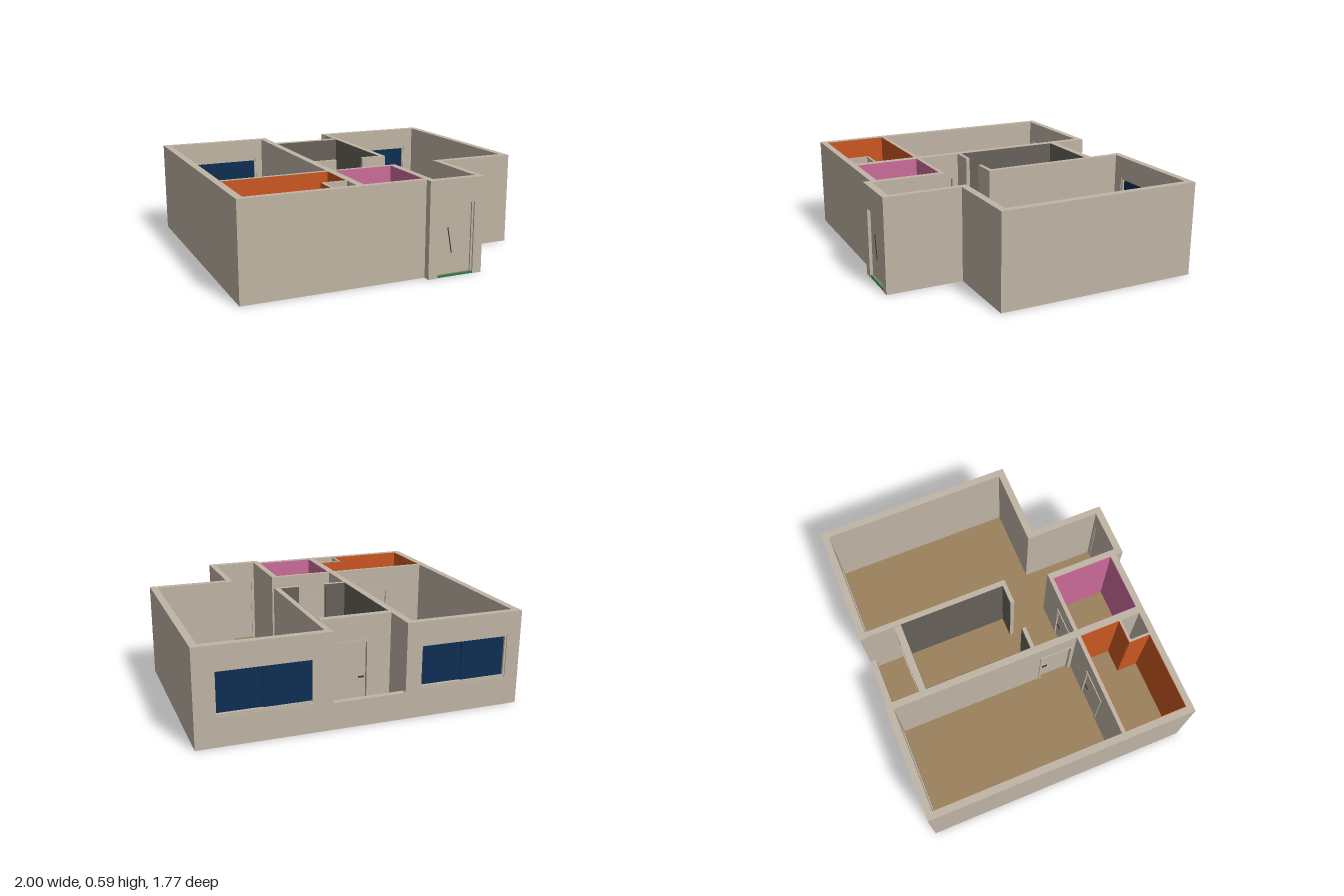
import * as THREE from 'three';

const H = 0.59, DOOR_H = 0.44;
const mat = (name, color, extra = {}) => Object.assign(new THREE.MeshStandardMaterial({ color, ...extra }), { name });

export function createModel() {
  const M = {
    plaster: mat('plaster', 0xc0b5a5),
    charcoal: mat('charcoal', 0x67625a),
    orange: mat('orangePaint', 0xcb5722),
    pink: mat('pinkPaint', 0xcc6b99),
    wood: mat('woodFloor', 0x9c825d),
    glass: mat('windowGlass', 0x0e2f54),
    metal: mat('handleMetal', 0x3a3632),
    green: mat('greenSill', 0x2f7a4c),
  };
  const house = new THREE.Group();
  house.name = 'apartment';

  const add = (name, geo, material) => {
    const m = new THREE.Mesh(geo, material);
    m.name = name;
    house.add(m);
    return m;
  };
  const box = (name, x0, x1, y0, y1, z0, z1, material) =>
    add(name, new THREE.BoxGeometry(x1 - x0, y1 - y0, z1 - z0)
      .translate((x0 + x1) / 2, (y0 + y1) / 2, (z0 + z1) / 2), material);

  // Box given by its run along an axis (s), height (y) and depth across it (c)
  const along = (name, axis, s0, s1, y0, y1, c0, c1, material) => axis === 'x'
    ? box(name, s0, s1, y0, y1, c0, c1, material)
    : box(name, c0, c1, y0, y1, s0, s1, material);

  // Wall running along x or z; doors notch the bottom edge, windows are holes
  const wall = (name, axis, s0, s1, c0, c1, { doors = [], windows = [], h = H, y = 0, material = M.plaster } = {}) => {
    const shape = new THREE.Shape();
    shape.moveTo(s0, y);
    for (const [a, b] of doors) {
      shape.lineTo(a, y); shape.lineTo(a, DOOR_H); shape.lineTo(b, DOOR_H); shape.lineTo(b, y);
    }
    shape.lineTo(s1, y); shape.lineTo(s1, h); shape.lineTo(s0, h); shape.closePath();
    for (const [a, b, y0, y1] of windows) {
      const hole = new THREE.Path();
      hole.moveTo(a, y0); hole.lineTo(a, y1); hole.lineTo(b, y1); hole.lineTo(b, y0); hole.closePath();
      shape.holes.push(hole);
    }
    const geo = new THREE.ExtrudeGeometry(shape, { depth: c1 - c0, bevelEnabled: false });
    if (axis === 'x') geo.translate(0, 0, c0);
    else geo.rotateY(-Math.PI / 2).translate(c1, 0, 0);
    return add(name, geo, material);
  };

  // Openings
  const winL = [-0.91, -0.34, 0.18, 0.45], winR = [0.31, 0.885, 0.18, 0.45];
  const bathDoor = [-0.7, -0.48], pinkDoor = [-0.24, -0.02], hallDoor = [0.13, 0.355];
  const balconyDoor = [-0.11, 0.13], frontDoor = [0.19, 0.43];

  // Outer walls
  wall('rightOuterWall', 'z', -0.89, 0.84, -1, -0.955);
  wall('backWallBedroom', 'x', -0.955, -0.25, -0.89, -0.845, { windows: [winL] });
  wall('backWallLiving', 'x', 0.2, 0.955, -0.89, -0.845, { windows: [winR] });
  wall('leftOuterWall', 'z', -0.89, 0.4, 0.955, 1);
  wall('livingFrontWall', 'x', 0.45, 0.955, 0.355, 0.4);
  wall('entryLeftWall', 'z', 0.4, 0.885, 0.45, 0.49);
  wall('entryFrontWall', 'x', 0.17, 0.45, 0.84, 0.885, { doors: [frontDoor] });
  wall('entryRightWall', 'z', 0.37, 0.885, 0.13, 0.17);
  wall('bathFrontWall', 'x', -0.955, 0.13, 0.8, 0.84);
  wall('balconyParapet', 'x', -0.25, 0.2, -0.89, -0.853, { h: 0.165 });

  // Inner walls
  wall('mainPartition', 'z', -0.845, 0.8, -0.295, -0.25, { doors: [hallDoor] });
  wall('balconyWall', 'x', -0.25, 0.2, -0.665, -0.62, { doors: [balconyDoor] });
  wall('livingPartition', 'z', -0.845, 0.1, 0.205, 0.24);
  wall('stubWallRight', 'x', -0.25, -0.11, 0.075, 0.1);
  wall('stubWallLeft', 'x', 0.075, 0.205, 0.075, 0.1);
  wall('bathWall', 'x', -0.955, -0.295, 0.37, 0.395, { doors: [bathDoor] });
  wall('pinkRoomWall', 'x', -0.25, 0.13, 0.37, 0.395, { doors: [pinkDoor] });
  wall('shaftSideWall', 'z', 0.66, 0.8, -0.45, -0.435);
  wall('shaftBackWall', 'x', -0.435, -0.295, 0.66, 0.675);

  // Coloured wall faces, as thin plates
  const T = 0.003;
  const paint = (name, material, axis, s0, s1, c, dir, doors = []) =>
    wall(name, axis, s0, s1, Math.min(c, c + dir * T), Math.max(c, c + dir * T),
      { doors, material, y: 0.012, h: H - 0.001 });
  paint('bathPaintBack', M.orange, 'x', -0.955, -0.295, 0.395, 1, [bathDoor]);
  paint('bathPaintRight', M.orange, 'z', 0.395, 0.8, -0.955, 1);
  paint('bathPaintFront', M.orange, 'x', -0.955, -0.45, 0.8, -1);
  paint('bathPaintLeft', M.orange, 'z', 0.395, 0.66, -0.295, -1);
  paint('shaftPaintBack', M.orange, 'x', -0.45, -0.295, 0.66, -1);
  paint('shaftPaintSide', M.orange, 'z', 0.66, 0.8, -0.45, -1);
  paint('pinkPaintBack', M.pink, 'x', -0.25, 0.13, 0.395, 1, [pinkDoor]);
  paint('pinkPaintFront', M.pink, 'x', -0.25, 0.13, 0.8, -1);
  paint('pinkPaintRight', M.pink, 'z', 0.395, 0.8, -0.25, 1);
  paint('pinkPaintLeft', M.pink, 'z', 0.395, 0.8, 0.13, -1);
  paint('darkPaintRight', M.charcoal, 'z', -0.62, 0.075, -0.25, 1);
  paint('darkPaintLeft', M.charcoal, 'z', -0.62, 0.075, 0.205, -1);
  paint('darkPaintBack', M.charcoal, 'x', -0.25, 0.205, -0.62, 1, [balconyDoor]);
  paint('darkPaintStubRight', M.charcoal, 'x', -0.25, -0.11, 0.075, -1);
  paint('darkPaintStubLeft', M.charcoal, 'x', 0.075, 0.205, 0.075, -1);

  // Floors: wood above, charcoal slab below
  const floorMats = [M.wood, M.wood, M.wood, M.charcoal, M.wood, M.wood];
  const floor = (name, x0, x1, z0, z1) => box(name, x0, x1, 0.002, 0.012, z0, z1, floorMats);
  floor('mainFloor', -0.99, 0.99, -0.88, 0.38);
  floor('frontFloor', -0.99, 0.48, 0.38, 0.83);
  floor('entryFloor', 0.14, 0.48, 0.83, 0.875);

  // Doors: leaf set in the wall, trim around both faces, lever on both sides
  const door = (name, axis, [a, b], c0, c1, handleAtEnd = true) => {
    const w = 0.014, p = 0.006, mid = (c0 + c1) / 2;
    along(name + 'Leaf', axis, a + w, b - w, 0.015, DOOR_H - w, mid - 0.008, mid + 0.008, M.plaster);
    along(name + 'JambA', axis, a, a + w, 0, DOOR_H, c0 - p, c1 + p, M.plaster);
    along(name + 'JambB', axis, b - w, b, 0, DOOR_H, c0 - p, c1 + p, M.plaster);
    along(name + 'Head', axis, a + w, b - w, DOOR_H - w, DOOR_H, c0 - p, c1 + p, M.plaster);
    const h0 = handleAtEnd ? b - 0.06 : a + 0.025;
    for (const s of [-1, 1]) {
      const c = mid + s * 0.012;
      along(name + 'Handle', axis, h0, h0 + 0.035, 0.2, 0.208, c - 0.004, c + 0.004, M.metal);
    }
  };
  door('bathDoor', 'x', bathDoor, 0.37, 0.395);
  door('pinkRoomDoor', 'x', pinkDoor, 0.37, 0.395);
  door('bedroomDoor', 'z', hallDoor, -0.295, -0.25, false);
  door('balconyDoor', 'x', balconyDoor, -0.665, -0.62, false);

  // Entrance door with a slim pull bar and a sill
  const [fa, fb] = frontDoor;
  box('entranceLeaf', fa, fb - 0.012, 0.015, DOOR_H, 0.845, 0.865, M.plaster);
  box('entranceJamb', fb - 0.012, fb, 0.015, DOOR_H, 0.842, 0.875, M.plaster);
  box('entranceSill', fa, fb, 0.001, 0.013, 0.872, 0.882, M.green);
  const bar = add('entrancePull', new THREE.CylinderGeometry(0.003, 0.003, 0.16, 8), M.metal);
  bar.position.set(0.277, 0.22, 0.867);
  bar.rotation.z = 0.18;

  // Windows: slim frame and two sliding panes
  const windowUnit = (name, [a, b, y0, y1]) => {
    const w = 0.012, z0 = -0.885, z1 = -0.85, m = (a + b) / 2;
    box(name + 'FrameBottom', a, b, y0, y0 + w, z0, z1, M.plaster);
    box(name + 'FrameTop', a, b, y1 - w, y1, z0, z1, M.plaster);
    box(name + 'FrameRight', a, a + w, y0 + w, y1 - w, z0, z1, M.plaster);
    box(name + 'FrameLeft', b - w, b, y0 + w, y1 - w, z0, z1, M.plaster);
    box(name + 'PaneRight', a + w, m + 0.01, y0 + w, y1 - w, -0.872, -0.864, M.glass);
    box(name + 'PaneLeft', m - 0.01, b - w, y0 + w, y1 - w, -0.863, -0.855, M.glass);
  };
  windowUnit('bedroomWindow', winL);
  windowUnit('livingWindow', winR);

  return house;
}
